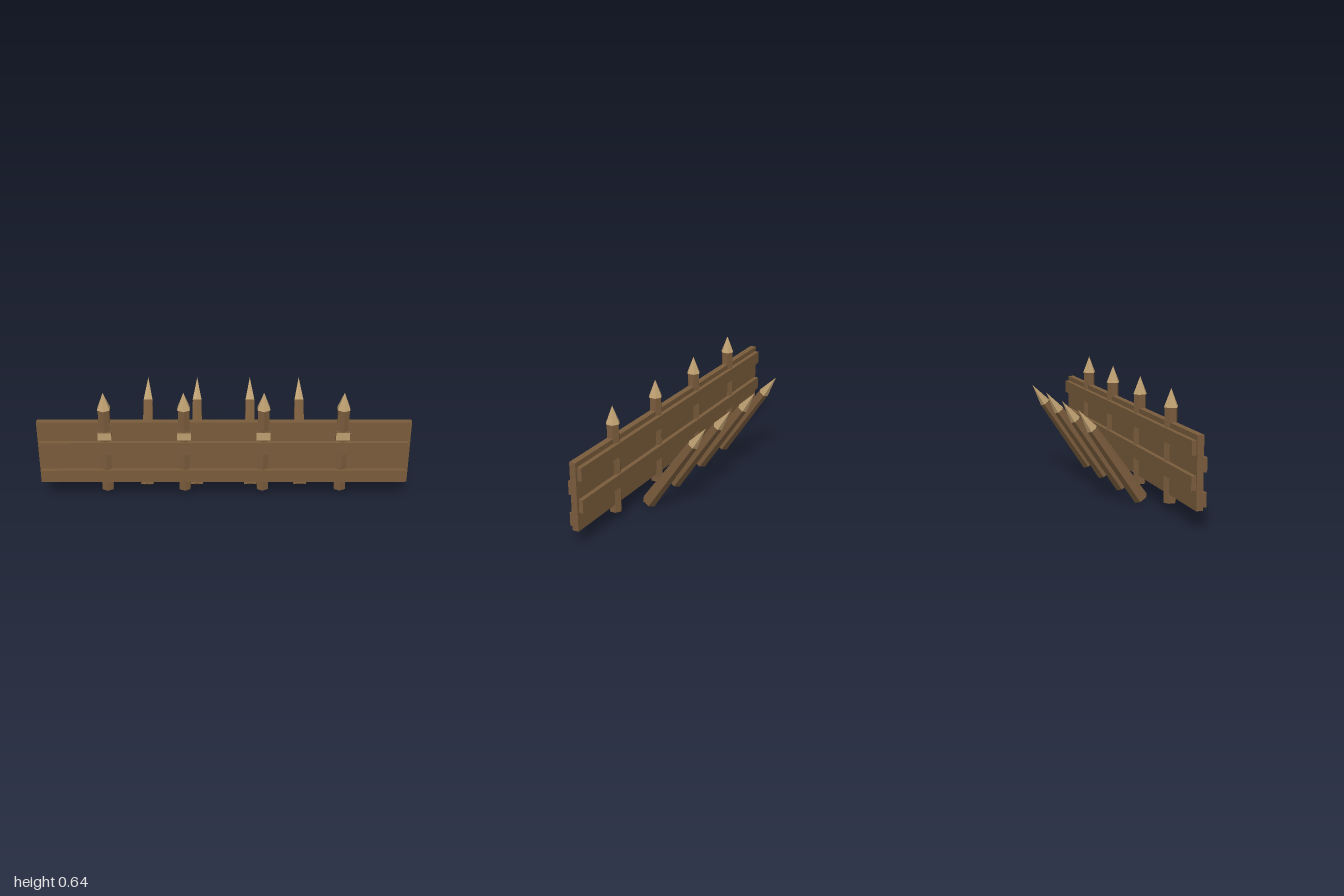
import * as THREE from 'three';

export function createModel() {
  const model = new THREE.Group();
  model.name = 'spikedBarricade';

  const wood = new THREE.MeshStandardMaterial({ color: 0x7a5c3c });
  wood.name = 'brown wood';
  const cutWood = new THREE.MeshStandardMaterial({ color: 0xbfa071 });
  cutWood.name = 'pale cut wood';
  wood.flatShading = cutWood.flatShading = true;

  const add = (parent, name, geometry, material, x, y, z) => {
    const mesh = new THREE.Mesh(geometry, material);
    mesh.name = name;
    mesh.position.set(x, y, z);
    parent.add(mesh);
    return mesh;
  };

  // Box given by its extents along y and z
  const slab = (name, x, width, y0, y1, z0, z1, material = wood) =>
    add(model, name, new THREE.BoxGeometry(width, y1 - y0, z1 - z0), material, x, (y0 + y1) / 2, (z0 + z1) / 2);

  // Six-sided pole with a sharpened pale tip, standing on its group's origin
  const pole = (name, bottomR, topR, length, tipR, tipLength) => {
    const group = new THREE.Group();
    group.name = name;
    add(group, name + 'Shaft', new THREE.CylinderGeometry(topR, bottomR, length, 6), wood, 0, length / 2, 0);
    add(group, name + 'Tip', new THREE.ConeGeometry(tipR, tipLength, 6), cutWood, 0, length + tipLength / 2, 0);
    model.add(group);
    return group;
  };

  // Wall panel with staggered rails on both faces
  slab('wallPanel', 0, 2, 0.098, 0.47, 0.174, 0.209);
  for (const y of [0.111, 0.284]) slab('frontRail', -0.002, 1.976, y, y + 0.073, 0.2, 0.232);
  for (const y of [0.197, 0.37]) slab('backRail', -0.002, 1.976, y, y + 0.073, 0.15, 0.18);

  // Upright posts, each with a cleat that has a pale front
  for (const x of [-0.638, -0.214, 0.211, 0.635]) {
    pole('post', 0.035, 0.035, 0.494, 0.039, 0.096).position.set(x, 0.05, 0.191);
    slab('cleat', x, 0.074, 0.372, 0.417, 0.2, 0.23, [wood, wood, wood, wood, cutWood, wood]);
  }

  // Tapered stakes leaning backward
  for (const x of [-0.427, -0.151, 0.146, 0.422]) {
    const stake = pole('stake', 0.04, 0.028, 0.473, 0.029, 0.13);
    stake.position.set(x, 0.024, 0.116);
    stake.rotation.x = -THREE.MathUtils.degToRad(35);
  }

  return model;
}
